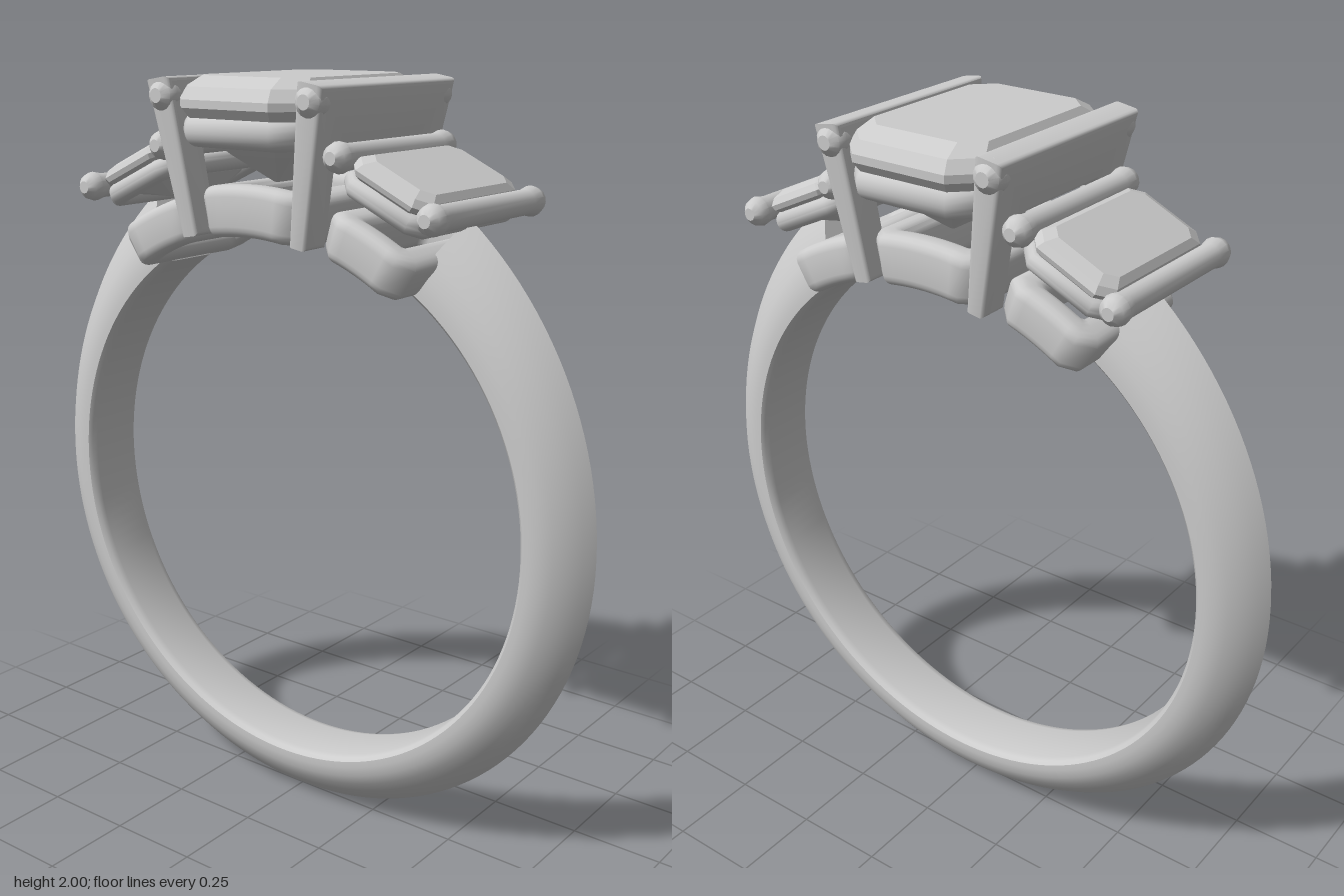
import * as THREE from 'three';
import { toCreasedNormals } from 'three/addons/utils/BufferGeometryUtils.js';

const CY = 0.885;            // height of the ring's centre
const TILT = 25 * Math.PI / 180; // lean of each side setting
const metal = new THREE.MeshStandardMaterial({ color: 0xcccccc });

function add(parent, name, geometry) {
  const mesh = new THREE.Mesh(geometry, metal);
  mesh.name = name;
  parent.add(mesh);
  return mesh;
}

// Skin a series of equal-length loops; either capped or closed on itself
function loft(rings, crease, closed = false) {
  const n = rings[0].length, m = rings.length, pos = rings.flat(2), idx = [];
  for (let j = 0; j < (closed ? m : m - 1); j++) {
    for (let i = 0; i < n; i++) {
      const k = (i + 1) % n, a = j * n, b = ((j + 1) % m) * n;
      idx.push(a + i, a + k, b + k, a + i, b + k, b + i);
    }
  }
  if (!closed) {
    const t = (m - 1) * n;
    for (let i = 1; i < n - 1; i++) idx.push(0, i + 1, i, t, t + i, t + i + 1);
  }
  const g = new THREE.BufferGeometry();
  g.setAttribute('position', new THREE.Float32BufferAttribute(pos, 3));
  g.setIndex(idx);
  return toCreasedNormals(g, crease);
}

// Rectangle with cut corners at height y, long edges divided for bending
function octagon(hx, hz, cut, y, div = 1) {
  const p = [[hx, y, hz - cut], [hx, y, cut - hz]];
  for (let i = 0; i <= div; i++) p.push([(hx - cut) * (1 - 2 * i / div), y, -hz]);
  p.push([-hx, y, cut - hz], [-hx, y, hz - cut]);
  for (let i = 0; i <= div; i++) p.push([(hx - cut) * (2 * i / div - 1), y, hz]);
  return p;
}

// Step-cut stone from [halfX, halfZ, cornerCut, y] levels, bottom to top
const stone = levels => loft(levels.map(l => octagon(...l)), 0.05);

// Octagonal frame with a rounded section of width w, between heights y0 and y1
function frame(hx, hz, cut, w, y0, y1, round, div = 1) {
  const levels = [], corners = [[w - round, y0 + round, 180], [round, y0 + round, 270],
    [round, y1 - round, 0], [w - round, y1 - round, 90]];
  // start at the inner bottom corner, run outward, up, inward and down
  for (const [inset, y, start] of corners) {
    for (let k = 0; k <= 4; k++) {
      const a = (start + k * 22.5) * Math.PI / 180;
      const d = inset - round * Math.cos(a);
      levels.push(octagon(hx - d, hz - d, Math.max(0.01, cut - d * 0.586), y + round * Math.sin(a), div));
    }
  }
  return loft(levels, 0.85, true);
}

// Wrap a frame around the ring's centre, y being the radius
function bend(g) {
  const p = g.attributes.position;
  for (let i = 0; i < p.count; i++) {
    const a = p.getX(i) / 0.76, r = p.getY(i);
    p.setXY(i, r * Math.sin(a), r * Math.cos(a));
  }
  g.computeBoundingSphere();
  return toCreasedNormals(g, 0.85);
}

// Rod along z with flared, pointed ends
function rod(half, r) {
  const end = [[r * 0.5, half], [r * 1.0, half - 0.015], [r * 1.2, half - 0.035], [r, half - 0.065]];
  const pts = [[0, half], ...end, ...end.slice().reverse().map(([a, b]) => [a, -b]), [0, -half]]
    .reverse().map(([a, b]) => new THREE.Vector2(a, b));
  return toCreasedNormals(new THREE.LatheGeometry(pts, 16).rotateX(Math.PI / 2), 0.6);
}

// Shank: ridged section swept below the settings, taller toward its ends
function shank() {
  const rings = [], end = 57.5, steps = 120;
  for (let i = 0; i <= steps; i++) {
    const deg = end - (180 + 2 * end) * i / steps, a = deg * Math.PI / 180;
    const lift = Math.max(0, deg > -90 ? deg : -180 - deg) / end;
    const R = 0.885 + 0.055 * lift * lift;
    const h = R - 0.755;
    const half = [[0.725, 0.07], [0.729, 0.086], [0.738, 0.095], [0.755, 0.095], [0.755 + h * 0.2, 0.091],
      [0.755 + h * 0.42, 0.077], [0.755 + h * 0.64, 0.055], [0.755 + h * 0.84, 0.029]];
    const loop = [...half.map(([r, z]) => [r, -z]), [R, 0], ...half.slice().reverse()];
    rings.push(loop.map(([r, z]) => [r * Math.cos(a), CY + r * Math.sin(a), z]));
  }
  return loft(rings, 0.7);
}

// Upright bracket: deep top bar and two legs, narrowing downward
function bracket() {
  const H = 0.37, s = new THREE.Shape();
  [[-0.235, 0], [-0.27, H], [0.27, H], [0.235, 0], [0.175, 0], [0.19, 0.2], [0.15, 0.245],
    [-0.15, 0.245], [-0.19, 0.2], [-0.175, 0]].forEach(([x, y], i) => i ? s.lineTo(x, y) : s.moveTo(x, y));
  const b = 0.013;
  const g = new THREE.ExtrudeGeometry(s, { depth: 0.044, bevelSize: b, bevelThickness: b, bevelSegments: 3 });
  g.translate(0, 0, -0.022).rotateY(Math.PI / 2);
  const p = g.attributes.position;
  for (let i = 0; i < p.count; i++) p.setX(i, p.getX(i) * (0.75 + 0.35 * p.getY(i) / H));
  return toCreasedNormals(g, 0.6);
}

export function createModel() {
  const model = new THREE.Group();
  model.name = 'threeStoneRing';
  add(model, 'band', shank());

  // Centre setting
  const centre = new THREE.Group();
  centre.name = 'centreSetting';
  model.add(centre);
  add(centre, 'centreStone', stone([
    [0.008, 0.11, 0.004, 1.74], [0.1, 0.2, 0.03, 1.81], [0.165, 0.265, 0.05, 1.87],
    [0.2, 0.305, 0.065, 1.925], [0.2, 0.305, 0.065, 1.945], [0.188, 0.285, 0.06, 1.975],
    [0.168, 0.235, 0.05, 2.0]]));
  add(centre, 'centreRail', frame(0.2, 0.3, 0.07, 0.075, 1.83, 1.91, 0.035));
  add(centre, 'centreBase', bend(frame(0.165, 0.235, 0.05, 0.075, 0.725, 0.855, 0.028, 8))).position.y = CY;

  for (const side of [1, -1]) {
    const label = side > 0 ? 'left' : 'right';

    // Leaning bracket with its prong bar along the top
    const prong = new THREE.Group();
    prong.name = label + 'Prong';
    prong.position.set(side * 0.175, 1.615, 0);
    prong.rotation.z = -side * 0.165;
    centre.add(prong);
    add(prong, 'bracket', bracket());
    add(prong, 'prongBar', rod(0.295, 0.036)).position.y = 0.34;

    // Side setting, turned around the ring's centre
    const setting = new THREE.Group();
    setting.name = label + 'SideSetting';
    setting.position.y = CY;
    setting.rotation.z = -side * TILT;
    model.add(setting);
    add(setting, 'sideStone', stone([
      [0.006, 0.1, 0.003, 0.875], [0.06, 0.16, 0.02, 0.905], [0.118, 0.222, 0.035, 0.955],
      [0.122, 0.226, 0.035, 0.968], [0.113, 0.215, 0.033, 0.985], [0.095, 0.185, 0.028, 0.998]]));
    add(setting, 'sideRail', frame(0.132, 0.225, 0.04, 0.055, 0.895, 0.95, 0.025));
    add(setting, 'sideBase', bend(frame(0.124, 0.21, 0.04, 0.075, 0.727, 0.845, 0.028, 6)));
    for (const x of [-0.145, 0.145]) add(setting, 'sideProngBar', rod(0.255, 0.032)).position.set(x, 0.968, 0);
  }
  return model;
}
